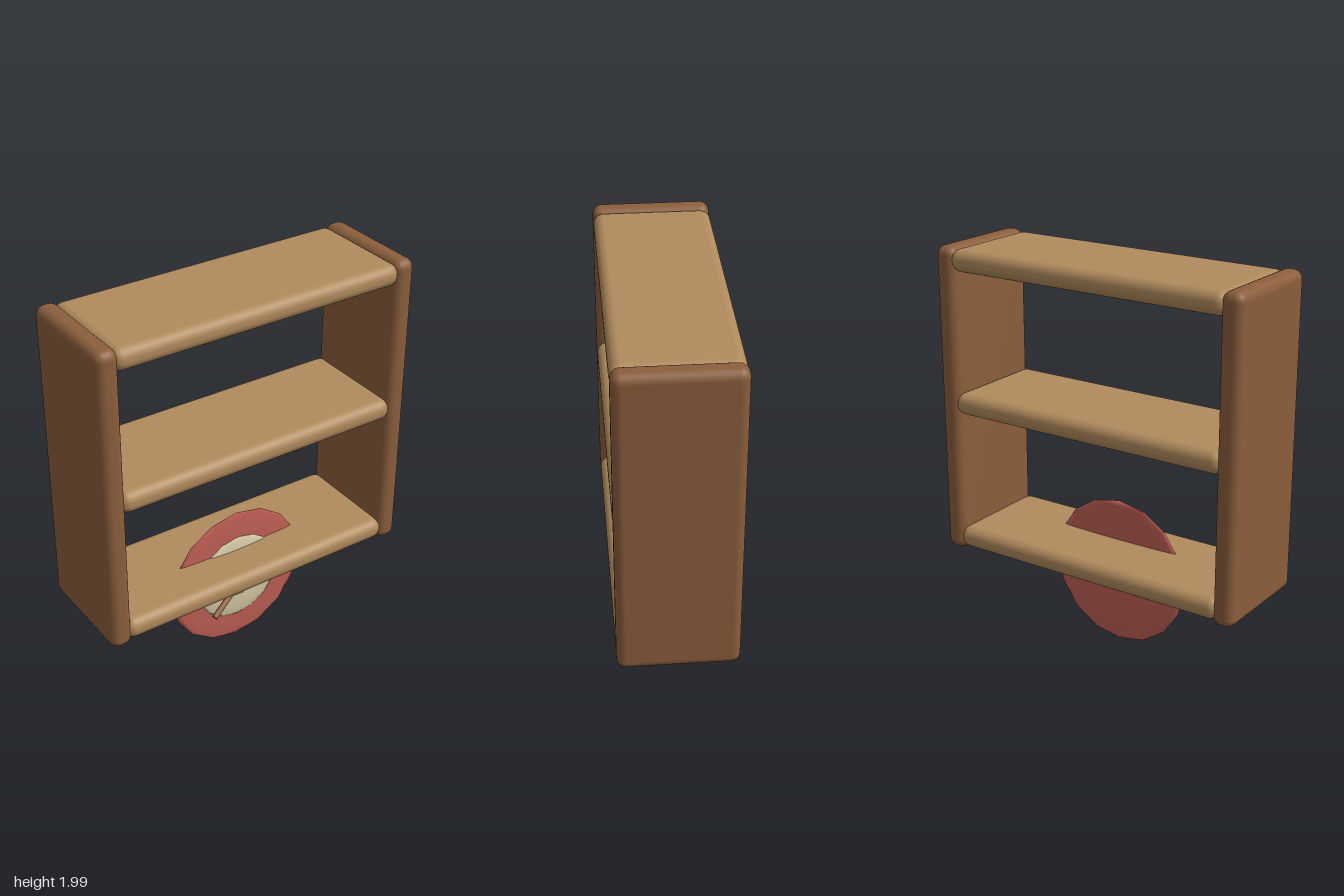
import * as THREE from 'three';
import { RoundedBoxGeometry } from 'three/addons/geometries/RoundedBoxGeometry.js';

function material(name, color) {
  const m = new THREE.MeshStandardMaterial({ color });
  m.name = name;
  return m;
}

export function createModel() {
  const group = new THREE.Group();
  group.name = 'shelfUnit';
  const darkWood = material('dark wood', 0x8b5e3c);
  const lightWood = material('light wood', 0xb08a5c);
  const red = material('red', 0xbf5f54);
  const cream = material('cream', 0xd8cba8);

  function add(name, geometry, mat, x, y, z) {
    const mesh = new THREE.Mesh(geometry, mat);
    mesh.name = name;
    mesh.position.set(x, y, z);
    group.add(mesh);
    return mesh;
  }

  // Upright side panels with soft edges
  const panel = new RoundedBoxGeometry(0.11, 1.56, 0.57, 4, 0.045);
  add('leftPanel', panel, darkWood, 0.785, 1.22, 0);
  add('rightPanel', panel, darkWood, -0.785, 1.22, 0);

  // Three shelves with rounded noses, let into the panels
  const shelf = new RoundedBoxGeometry(1.51, 0.11, 0.57, 4, 0.05);
  [['bottomShelf', 0.51], ['middleShelf', 1.22], ['topShelf', 1.935]].forEach(
    ([name, y]) => add(name, shelf, lightWood, 0, y, 0));

  // Round target: flattened low-poly discs stacked towards the front
  [
    ['targetOuter', 0.38, 0.015, 0.054, red, 8],
    ['targetRing', 0.24, 0.02, 0.067, cream, 8],
    ['targetCentre', 0.11, 0.018, 0.081, lightWood, 12],
  ].forEach(([name, radius, depth, z, mat, rows]) => {
    const disc = new THREE.SphereGeometry(radius, 16, rows);
    disc.scale(1, 1, depth / radius);
    add(name, disc, mat, 0, 0.39, z);
  });

  // Dart shaft slanting out of the centre
  const tip = new THREE.Vector3(0.02, 0.392, 0.09);
  const end = new THREE.Vector3(-0.2, 0.27, 0.16);
  const direction = end.clone().sub(tip);
  const dart = add('dart', new THREE.CylinderGeometry(0.015, 0.015, direction.length(), 10),
    darkWood, 0, 0, 0);
  dart.position.copy(tip).add(end).multiplyScalar(0.5);
  dart.quaternion.setFromUnitVectors(new THREE.Vector3(0, 1, 0), direction.normalize());

  return group;
}
